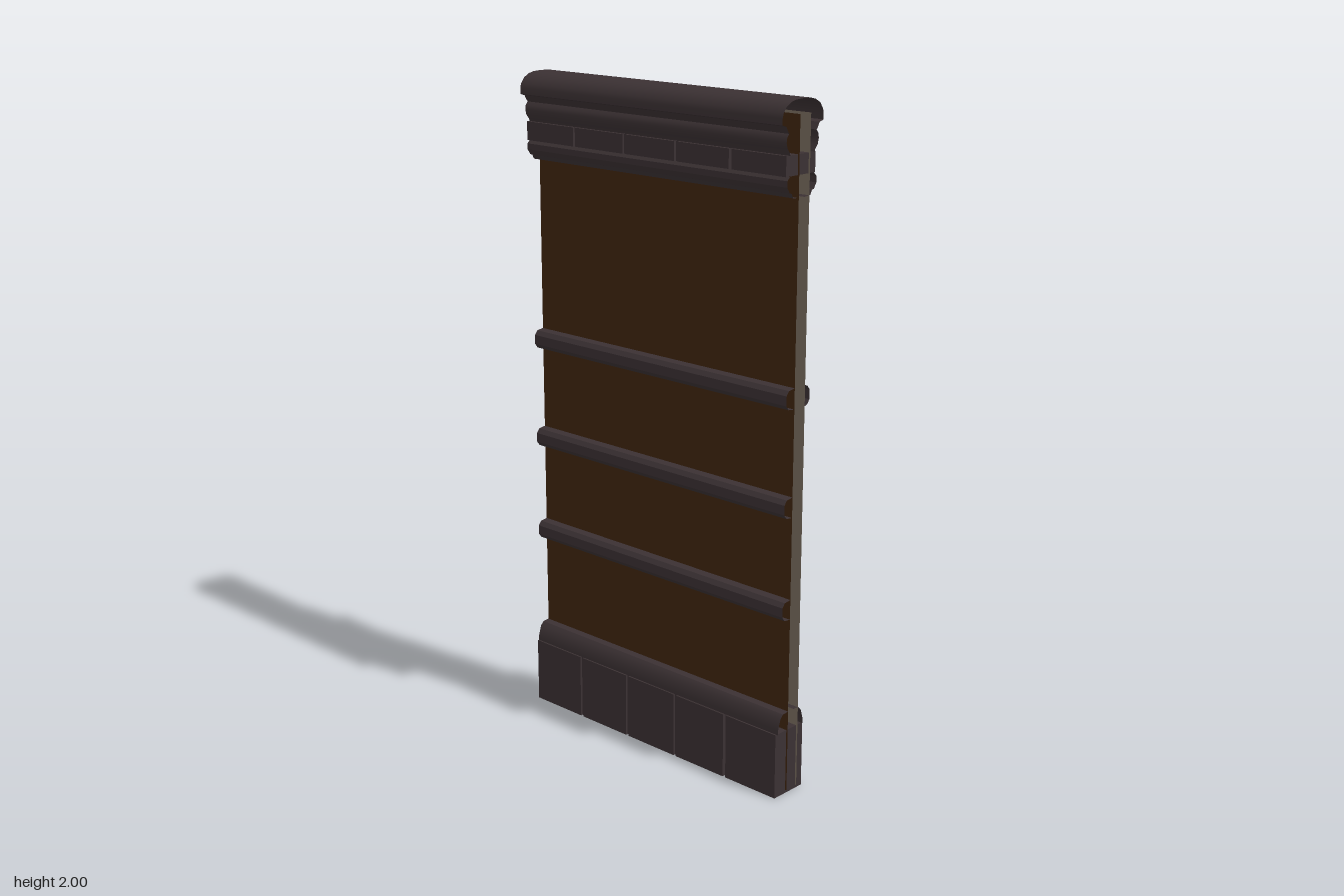
import * as THREE from 'three';
import { toCreasedNormals } from 'three/addons/utils/BufferGeometryUtils.js';

const material = (name, color) =>
  new THREE.MeshStandardMaterial({ name, color, side: THREE.DoubleSide });

// Open sheet: a [z, y] profile, listed from top to bottom, swept along x
function sheet(profile) {
  const pos = [];
  for (let i = 0; i < profile.length - 1; i++) {
    const [z0, y0] = profile[i], [z1, y1] = profile[i + 1];
    pos.push(-0.5, y0, z0, -0.5, y1, z1, 0.5, y0, z0);
    pos.push(0.5, y0, z0, -0.5, y1, z1, 0.5, y1, z1);
  }
  const g = new THREE.BufferGeometry();
  g.setAttribute('position', new THREE.Float32BufferAttribute(pos, 3));
  g.computeVertexNormals();
  return toCreasedNormals(g, 0.55);
}

// Box without its -x face
function openBlock(w, h, d) {
  const g = new THREE.BoxGeometry(w, h, d);
  const index = Array.from(g.index.array);
  index.splice(6, 6);
  g.setIndex(index);
  g.clearGroups();
  return g;
}

export function createModel() {
  const model = new THREE.Group();
  model.name = 'wallPanel';
  const trim = material('darkTrim', 0x3b3133);
  const brown = material('brownWood', 0x40250f);
  const cream = material('creamPlaster', 0x7a6e60);

  const add = (name, geometry, mat, x = 0, y = 0, z = 0) => {
    const m = new THREE.Mesh(geometry, mat);
    m.name = name;
    m.position.set(x, y, z);
    model.add(m);
    return m;
  };
  const addBack = (name, geometry) => {
    add(name, geometry, trim).rotation.y = Math.PI;
  };

  // Wall faces, open at the ends
  add('frontPanel', sheet([[0.012, 1.96], [0.012, 0.01]]), brown);
  add('backPanel', sheet([[0.032, 1.96], [0.032, 0.01]]), cream).rotation.y = Math.PI;

  // Mouldings found on both sides
  const both = {
    Cornice: [[0, 2], [0.03, 1.999], [0.05, 1.994], [0.068, 1.984], [0.08, 1.968], [0.084, 1.955],
      [0.084, 1.937], [0.068, 1.932], [0.06, 1.918], [0.056, 1.913], [0.064, 1.903],
      [0.066, 1.89], [0.062, 1.875], [0.052, 1.862], [0.05, 1.855]],
    FriezeRail: [[0.05, 1.8], [0.06, 1.79], [0.06, 1.773], [0.05, 1.757], [0.042, 1.755], [0.035, 1.742], [0.012, 1.74]],
    BaseRail: [[0.012, 0.26], [0.034, 0.258], [0.045, 0.247], [0.055, 0.215], [0.055, 0.2]],
  };
  for (const [name, profile] of Object.entries(both)) {
    const g = sheet(profile);
    add('front' + name, g, trim);
    addBack('back' + name, g);
  }

  // Narrow rails: three on the front, one on the back
  const rail = (y, inner, outer) => sheet([[inner, y + 0.03], [outer - 0.01, y + 0.027],
    [outer, y + 0.014], [outer, y - 0.014], [outer - 0.01, y - 0.027], [inner, y - 0.03]]);
  for (const y of [1.19, 0.877, 0.573]) add('frontRail', rail(y, 0.012, 0.046), trim);
  addBack('backRail', rail(1.19, 0.032, 0.052));

  // Rows of blocks at the base and the frieze, with recessed joints
  for (const [name, y0, y1] of [['baseBlock', 0, 0.2], ['friezeBlock', 1.8, 1.855]]) {
    const h = y1 - y0, y = (y0 + y1) / 2;
    for (let i = 0; i < 5; i++) {
      const x0 = i === 0 ? -0.5 : -0.495 + i * 0.2;
      const x1 = -0.305 + i * 0.2;
      add(name, openBlock(x1 - x0, h, 0.12), trim, (x0 + x1) / 2, y);
      if (i === 4) continue;
      for (const s of [1, -1]) {
        if (i === 3 && s === 1) continue;
        add(name + 'Joint', new THREE.BoxGeometry(0.012, h, 0.006), trim, -0.3 + i * 0.2, y, s * 0.05);
      }
    }
  }
  return model;
}
